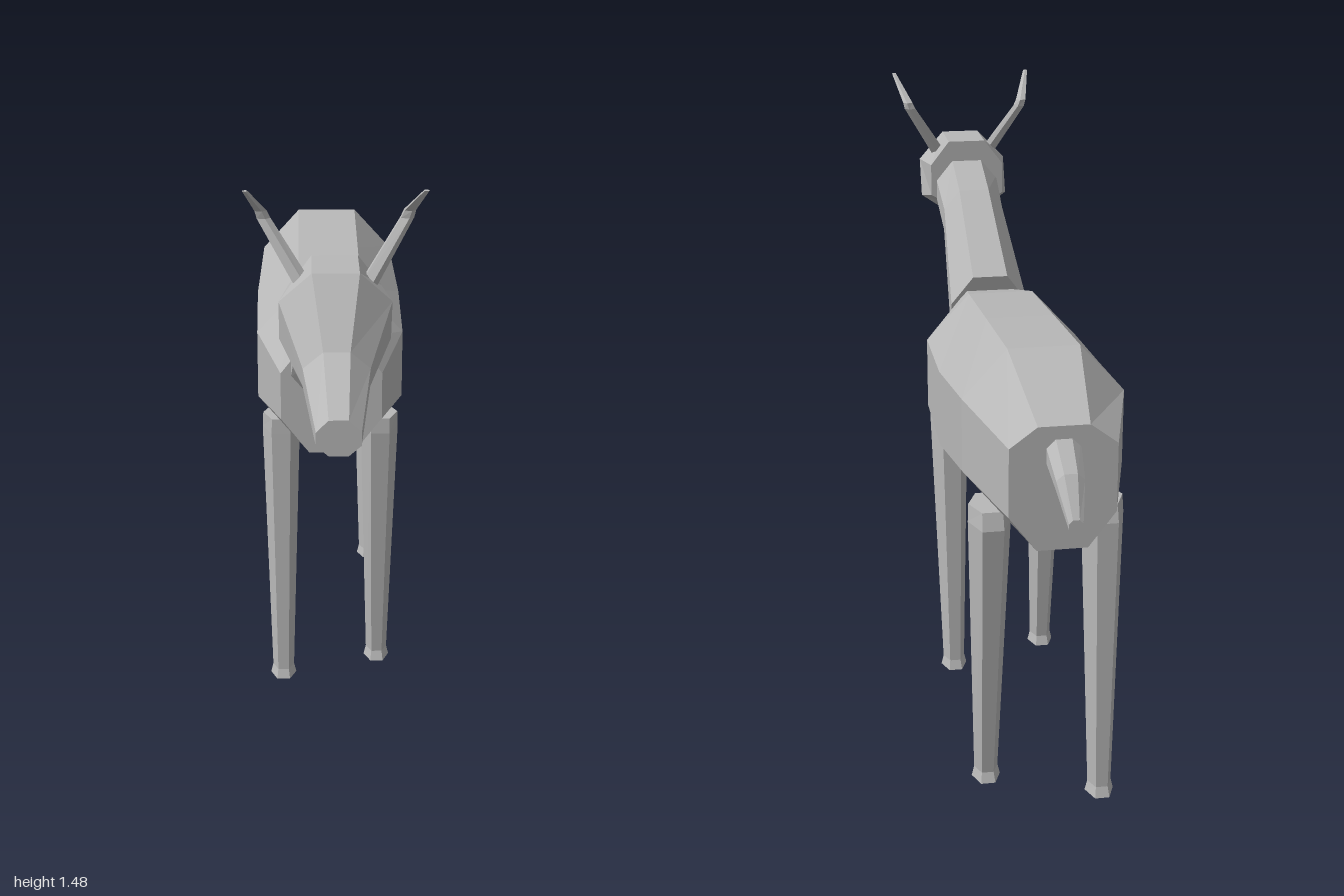
import * as THREE from 'three';

// Closed faceted skin through rings of points (rings counter-clockwise as seen from the last one)
function loft(name, rings, material) {
  const pos = [];
  const tri = (...pts) => pts.forEach((p) => pos.push(p[0], p[1], p[2]));
  const n = rings[0].length;
  for (let r = 0; r < rings.length - 1; r++) {
    const a = rings[r], b = rings[r + 1];
    for (let i = 0; i < n; i++) {
      const j = (i + 1) % n;
      tri(a[i], a[j], b[j]);
      tri(a[i], b[j], b[i]);
    }
  }
  const first = rings[0], last = rings[rings.length - 1];
  for (let i = 1; i < n - 1; i++) {
    tri(first[0], first[i + 1], first[i]);
    tri(last[0], last[i], last[i + 1]);
  }
  const geo = new THREE.BufferGeometry();
  geo.setAttribute('position', new THREE.Float32BufferAttribute(pos, 3));
  geo.computeVertexNormals(); // unshared corners give flat facets
  const mesh = new THREE.Mesh(geo, material);
  mesh.name = name;
  return mesh;
}

// Eight-sided section: half width w, flat half width f, four heights and the z of its bottom and top
function octagon(w, f, [y0, y1, y2, y3], zBottom, zTop = zBottom) {
  const z = (y) => zBottom + ((zTop - zBottom) * (y - y0)) / (y3 - y0);
  return [
    [f, y0], [w, y1], [w, y2], [f, y3],
    [-f, y3], [-w, y2], [-w, y1], [-f, y0],
  ].map(([x, y]) => [x, y, z(y)]);
}

// Level polygon around a centre, used for upright parts
function levelRing(x, y, z, rx, rz, sides = 6) {
  return Array.from({ length: sides }, (_, i) => {
    const a = (i / sides) * Math.PI * 2;
    return [x + rx * Math.cos(a), y, z - rz * Math.sin(a)];
  });
}

export function createModel() {
  const model = new THREE.Group();
  model.name = 'deer';
  const hide = new THREE.MeshStandardMaterial({ color: 0xb8b8b8 });
  hide.name = 'grey hide';
  hide.flatShading = true;

  // Barrel body, rump to chest
  model.add(loft('body', [
    octagon(0.115, 0.055, [0.74, 0.82, 0.975, 1.02], -0.865),
    octagon(0.18, 0.08, [0.71, 0.83, 1.0, 1.11], -0.63),
    octagon(0.192, 0.08, [0.655, 0.77, 0.955, 1.08], -0.33),
    octagon(0.187, 0.08, [0.645, 0.76, 0.935, 1.05], -0.04),
    octagon(0.125, 0.055, [0.69, 0.78, 0.9, 0.99], 0.18),
  ], hide));

  // Neck reaching forward into the head
  model.add(loft('neck', [
    octagon(0.1, 0.045, [0.83, 0.885, 0.965, 1.04], 0.18, 0.13),
    octagon(0.08, 0.04, [1.04, 1.085, 1.145, 1.2], 0.46, 0.42),
    octagon(0.085, 0.04, [1.11, 1.15, 1.2, 1.25], 0.6, 0.56),
  ], hide));

  // Head and tapering muzzle
  model.add(loft('head', [
    octagon(0.1, 0.05, [1.125, 1.155, 1.24, 1.305], 0.565, 0.56),
    octagon(0.12, 0.05, [1.095, 1.14, 1.235, 1.305], 0.61, 0.7),
    octagon(0.07, 0.028, [1.06, 1.085, 1.13, 1.17], 0.77, 0.81),
    octagon(0.045, 0.02, [1.02, 1.042, 1.07, 1.095], 1.0),
  ], hide));

  // Short drooping tail
  model.add(loft('tail', [
    octagon(0.015, 0.007, [0.843, 0.85, 0.862, 0.87], -1.0),
    octagon(0.03, 0.014, [0.895, 0.91, 0.93, 0.945], -0.93, -0.94),
    octagon(0.038, 0.018, [0.925, 0.945, 0.98, 1.0], -0.85),
  ], hide));

  // Legs: top and foot z differ per side for the walking pose
  const legs = [
    ['frontLeftLeg', 1, 0.0, 0.738, 0.014, -0.032],
    ['frontRightLeg', -1, 0.0, 0.738, 0.014, 0.062],
    ['rearLeftLeg', 1, 0.03, 0.77, -0.678, -0.613],
    ['rearRightLeg', -1, 0.03, 0.77, -0.678, -0.713],
  ];
  for (const [name, side, y0, y1, zTop, zFoot] of legs) {
    const x = side * 0.127;
    model.add(loft(name, [
      levelRing(x, y0, zFoot, 0.034, 0.047),
      levelRing(x, y0 + 0.025, zFoot, 0.028, 0.037),
      levelRing(x, y1 - 0.04, zTop, 0.048, 0.07),
      levelRing(x, y1, zTop + 0.005, 0.046, 0.062),
    ], hide));
  }

  // Bent horns
  for (const side of [1, -1]) {
    model.add(loft(side > 0 ? 'leftHorn' : 'rightHorn', [
      levelRing(side * 0.065, 1.255, 0.635, 0.022, 0.014, 5),
      levelRing(side * 0.152, 1.395, 0.588, 0.016, 0.012, 5),
      levelRing(side * 0.158, 1.412, 0.59, 0.014, 0.014, 5),
      levelRing(side * 0.186, 1.476, 0.686, 0.006, 0.008, 5),
    ], hide));
  }

  return model;
}
